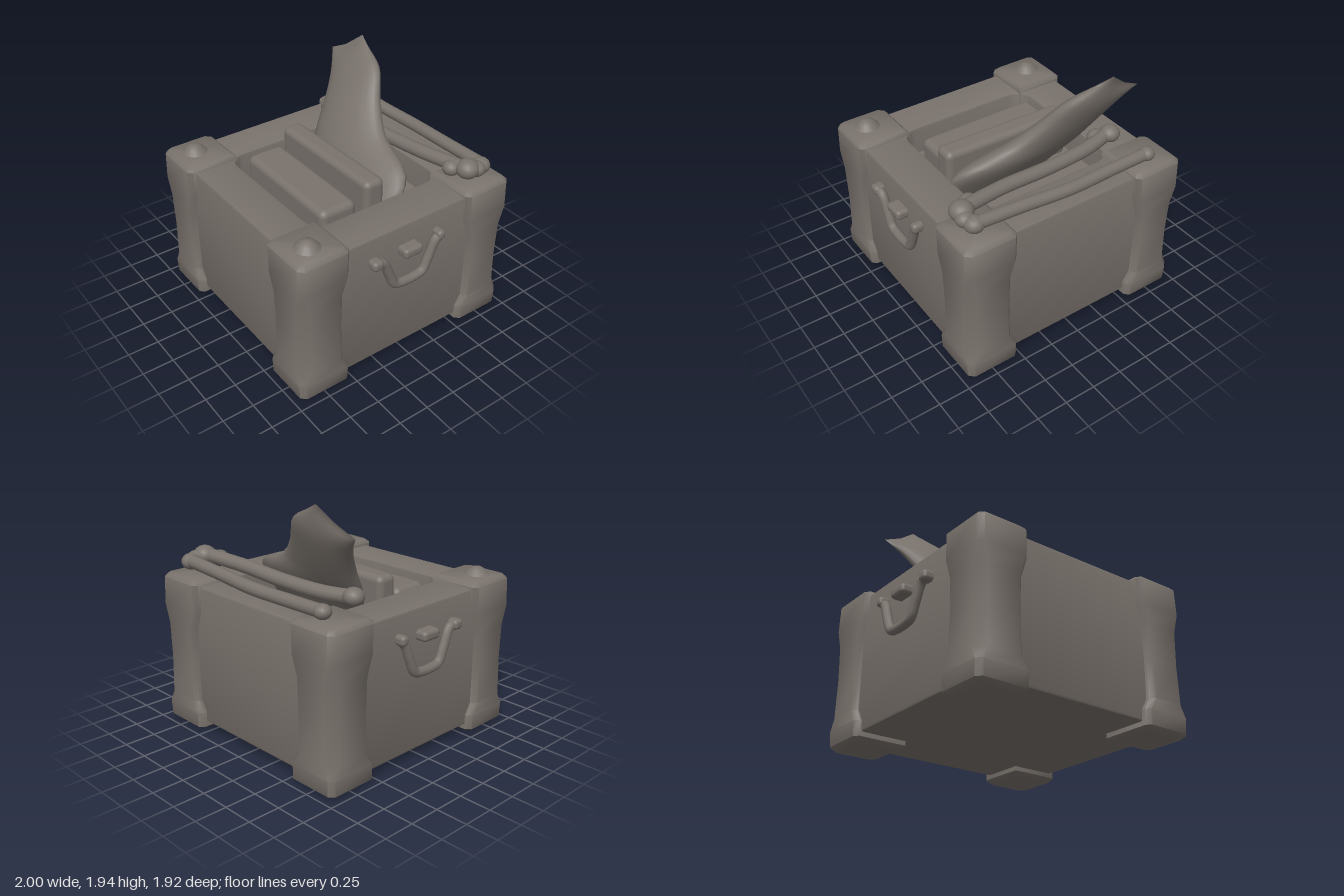
import * as THREE from 'three';
import { toCreasedNormals, mergeVertices } from 'three/addons/utils/BufferGeometryUtils.js';
import { RoundedBoxGeometry } from 'three/addons/geometries/RoundedBoxGeometry.js';

const clay = new THREE.MeshStandardMaterial({ color: 0x79726c });
clay.name = 'warm grey clay';

function add(parent, name, geometry, x = 0, y = 0, z = 0) {
  const mesh = new THREE.Mesh(geometry, clay);
  mesh.name = name;
  mesh.position.set(x, y, z);
  parent.add(mesh);
  return mesh;
}

// Closed skin over rings of points (counter-clockwise from above, rising)
function loft(rings, crease) {
  const n = rings[0].length, pos = rings.flat(2), index = [];
  const centre = (ring) => [0, 1, 2].map((k) => ring.reduce((s, p) => s + p[k], 0) / n);
  const last = rings.length - 1, bottom = rings.length * n;
  pos.push(...centre(rings[0]), ...centre(rings[last]));
  for (let i = 0; i < n; i++) {
    const k = (i + 1) % n;
    for (let j = 0; j < last; j++) {
      const a = j * n + i, b = j * n + k;
      index.push(a, b, b + n, a, b + n, a + n);
    }
    index.push(bottom, k, i, bottom + 1, last * n + i, last * n + k);
  }
  const g = new THREE.BufferGeometry();
  g.setAttribute('position', new THREE.Float32BufferAttribute(pos, 3));
  g.setIndex(index);
  g.computeVertexNormals();
  return toCreasedNormals(g, crease);
}

const vectors = (points) => points.map((p) => new THREE.Vector3(...p));

// Crate shell with a chamfered opening
function shellGeometry() {
  const shape = new THREE.Shape();
  const w = 0.89, d = 0.875;
  shape.moveTo(-w, -d).lineTo(w, -d).lineTo(w, d).lineTo(-w, d).closePath();
  const h = 0.595, c = 0.46;
  const hole = new THREE.Path();
  hole.moveTo(-h, -c).quadraticCurveTo(-h + 0.02, -h + 0.02, -c, -h).lineTo(c, -h)
    .quadraticCurveTo(h - 0.02, -h + 0.02, h, -c).lineTo(h, c)
    .quadraticCurveTo(h - 0.02, h - 0.02, c, h).lineTo(-c, h)
    .quadraticCurveTo(-h + 0.02, h - 0.02, -h, c).closePath();
  shape.holes.push(hole);
  const g = new THREE.ExtrudeGeometry(shape, {
    depth: 1.075, bevelSize: 0.02, bevelThickness: 0.02, bevelSegments: 2, curveSegments: 6,
  });
  g.rotateX(-Math.PI / 2).translate(0, 0.085, 0);
  return toCreasedNormals(g, 0.6);
}

// Corner post: thick cap and foot, slimmer chamfered middle
function postGeometry() {
  const sections = [ // y, inner edge, outer face, corner chamfer
    [0, 0.57, 0.92, 0.03], [0.03, 0.53, 0.955, 0.04], [0.15, 0.53, 0.96, 0.04],
    [0.24, 0.585, 0.955, 0.075], [0.55, 0.59, 0.95, 0.075], [0.83, 0.585, 0.955, 0.075],
    [0.98, 0.54, 0.96, 0.04], [1.195, 0.53, 0.955, 0.04], [1.225, 0.56, 0.925, 0.03],
  ];
  const b = 0.035;
  return loft(sections.map(([y, i, o, c]) => [
    [i, i], [i, o - b], [i + b, o], [o - c, o], [o, o - c], [o, i + b], [o - b, i],
  ].map(([x, z]) => [x, y, z])), 0.85);
}

// Slanted blade widening to its foot, with a two-pointed tip
function finGeometry() {
  const left = new THREE.CatmullRomCurve3(vectors([
    [-0.36, 0.98, 0], [-0.5, 1.2, 0], [-0.57, 1.42, 0], [-0.66, 1.6, 0], [-0.79, 1.74, 0]]));
  const right = new THREE.CatmullRomCurve3(vectors([
    [0.6, 0.98, 0], [0.58, 1.26, 0], [0.2, 1.42, 0], [0, 1.59, 0],
    [-0.16, 1.79, 0], [-0.35, 1.88, 0], [-0.48, 1.94, 0]]));
  const rows = 22, half = 10, rings = [];
  for (let r = 0; r <= rows; r++) {
    const t = r / rows, a = left.getPoint(t), b = right.getPoint(t), ring = [];
    for (let i = 0; i < half * 2; i++) {
      const angle = (i / (half * 2)) * Math.PI * 2;
      const u = (1 - Math.cos(angle)) / 2;
      const x = a.x + (b.x - a.x) * u;
      const y = a.y + (b.y - a.y) * u - 0.05 * t ** 4 * Math.sin(Math.PI * u);
      const thick = 0.005 + 0.13 * (1 - t ** 3);
      const mid = -0.19 - 0.6 * (y - 1.18) - 0.05 * t * (1 - u);
      ring.push([x, y, mid + thick * Math.sin(angle)]);
    }
    rings.push(ring);
  }
  return loft(rings, 1.2);
}

// Bone: uneven shaft with a pair of knobs at each end
function makeBone(name, points, radius, knobs) {
  const bone = new THREE.Group();
  bone.name = name;
  const curve = new THREE.CatmullRomCurve3(vectors(points));
  add(bone, name + 'Shaft', new THREE.TubeGeometry(curve, 32, radius, 12));
  knobs.forEach(([x, y, z, r]) => {
    add(bone, name + 'Knob', new THREE.SphereGeometry(r, 16, 12), x, y, z).scale.y = 0.85;
  });
  return bone;
}

// Side handle with rounded ends and a centre latch, facing +x
function makeHandle(name) {
  const handle = new THREE.Group();
  handle.name = name;
  const path = new THREE.CatmullRomCurve3(vectors([
    [0.95, 0.98, 0.32], [0.945, 0.96, 0.25], [0.94, 0.83, 0.185], [0.94, 0.72, 0.13], [0.94, 0.7, 0.05],
    [0.94, 0.7, -0.05], [0.94, 0.72, -0.13], [0.94, 0.83, -0.185], [0.945, 0.96, -0.24], [0.95, 0.99, -0.28],
  ]), false, 'centripetal');
  add(handle, 'handleBar', new THREE.TubeGeometry(path, 48, 0.037, 10));
  add(handle, 'handleEnd', new RoundedBoxGeometry(0.1, 0.08, 0.09, 3, 0.03), 0.94, 0.975, 0.31);
  add(handle, 'handleEnd', new RoundedBoxGeometry(0.1, 0.08, 0.07, 3, 0.03), 0.94, 0.995, -0.27);
  add(handle, 'handleLatch', new RoundedBoxGeometry(0.14, 0.08, 0.17, 3, 0.03), 0.93, 0.975, 0);
  return handle;
}

export function createModel() {
  const model = new THREE.Group();
  model.name = 'cratefulOfFinds';

  add(model, 'crateShell', shellGeometry());
  add(model, 'crateFloor', new THREE.BoxGeometry(1.24, 0.88, 1.24), 0, 0.506, 0);

  // Corner posts
  const post = postGeometry();
  for (let i = 0; i < 4; i++) add(model, 'cornerPost', post).rotation.y = (i * Math.PI) / 2;

  // Domed rivets on the front posts
  const dome = mergeVertices(new THREE.LatheGeometry([
    [0.12, -0.015], [0.09, 0.01], [0.065, 0.04], [0.035, 0.058], [0, 0.062],
  ].map((p) => new THREE.Vector2(...p)), 18));
  dome.computeVertexNormals();
  for (const side of [-1, 1]) add(model, 'postRivet', dome, side * 0.77, 1.222, 0.77);

  // Handles on both sides
  model.add(makeHandle('leftHandle'));
  const rightHandle = makeHandle('rightHandle');
  rightHandle.children.forEach((part) => {
    // mirrored in x, keeping the outer faces outward
    part.position.x *= -1;
    if (part.name === 'handleBar') {
      part.position.x = -1.885;
    }
  });
  model.add(rightHandle);

  // Books standing in the opening
  const tall = new RoundedBoxGeometry(1.1, 0.4, 0.175, 4, 0.05, 1);
  const p = tall.attributes.position;
  for (let i = 0; i < p.count; i++) p.setY(i, p.getY(i) + 0.02 * p.getX(i));
  add(model, 'tallBook', tall, 0, 1.13, 0.01);
  add(model, 'shortBook', new RoundedBoxGeometry(1.02, 0.26, 0.32, 4, 0.055), -0.03, 1.053, 0.28);

  add(model, 'fin', finGeometry());

  // Bones resting along the back rim
  model.add(makeBone('backBone', [
    [-0.72, 1.28, -0.81], [-0.4, 1.275, -0.81], [0, 1.28, -0.825], [0.4, 1.3, -0.81], [0.82, 1.32, -0.8],
  ], 0.05, [[-0.72, 1.28, -0.81, 0.065], [0.79, 1.31, -0.79, 0.075]]));
  model.add(makeBone('innerBone', [
    [-0.66, 1.28, -0.44], [-0.4, 1.27, -0.5], [0, 1.28, -0.54], [0.4, 1.31, -0.57], [0.82, 1.34, -0.64],
  ], 0.055, [[-0.66, 1.29, -0.46, 0.08], [-0.58, 1.25, -0.4, 0.075],
    [0.8, 1.335, -0.65, 0.09], [0.7, 1.32, -0.58, 0.07], [0.82, 1.32, -0.72, 0.07]]));

  return model;
}
